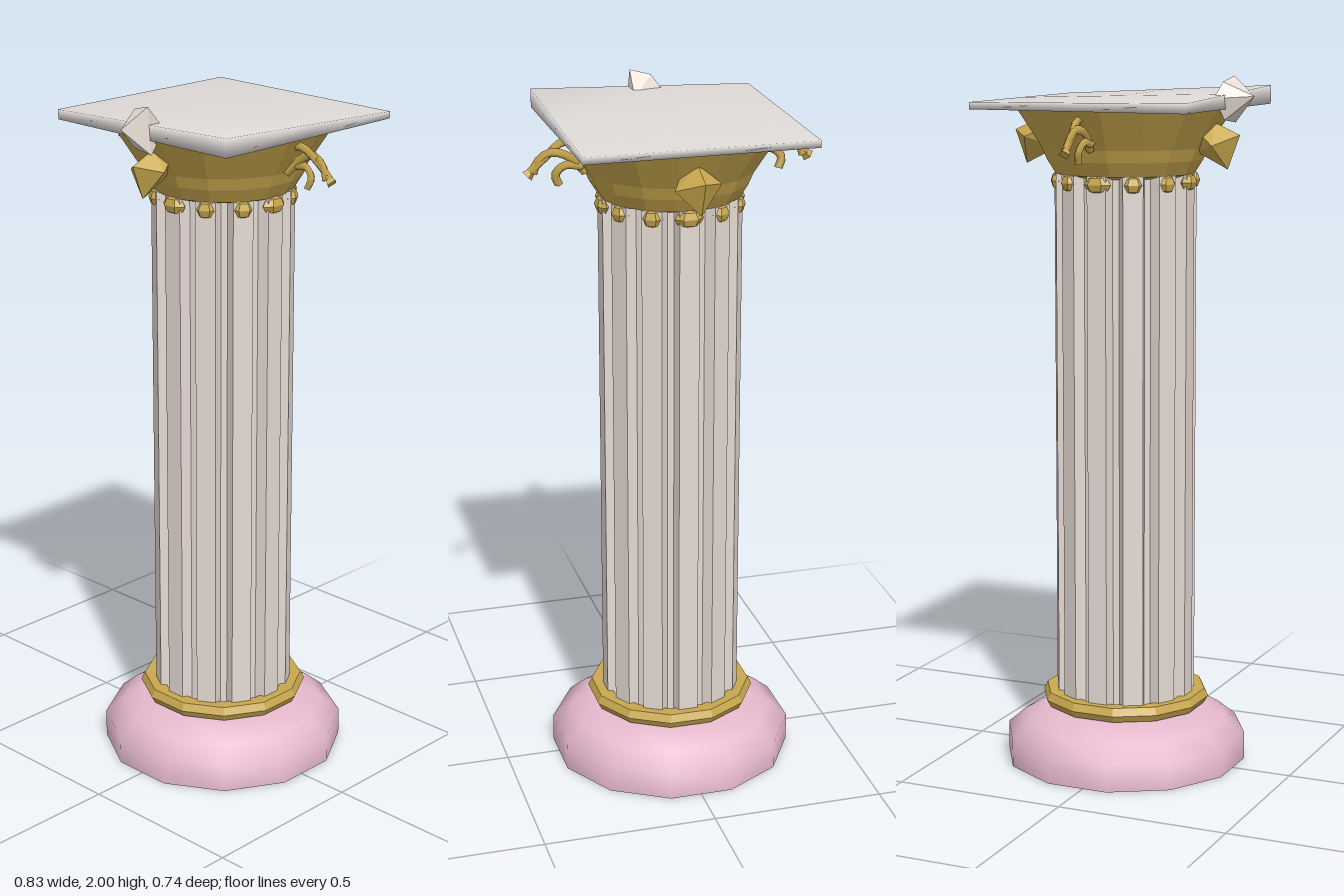
import * as THREE from 'three';
import { ConvexGeometry } from 'three/addons/geometries/ConvexGeometry.js';
import { mergeVertices } from 'three/addons/utils/BufferGeometryUtils.js';

const mat = (color, extra = {}) => new THREE.MeshStandardMaterial({ color, ...extra });
const V2 = (x, y) => new THREE.Vector2(x, y);
const V3 = (p) => new THREE.Vector3(...p);

export function createModel() {
  const model = new THREE.Group();
  const column = new THREE.Group();
  column.name = 'column';
  column.position.z = -0.018;
  model.add(column);

  const stone = mat(0xe6dad3, { flatShading: true });
  const gold = mat(0xc9a84e, { side: THREE.DoubleSide });
  const goldFlat = mat(0xc9a84e, { flatShading: true, side: THREE.DoubleSide });
  const pink = mat(0xe6b9cd);

  function add(name, geometry, material, parent = column) {
    const mesh = new THREE.Mesh(geometry, material);
    mesh.name = name;
    parent.add(mesh);
    return mesh;
  }
  function lathe(name, points, sides, material) {
    const geometry = new THREE.LatheGeometry(points.map(([r, y]) => V2(r, y)), sides);
    const mesh = add(name, geometry, material);
    mesh.rotation.y = Math.PI / sides;
    return mesh;
  }
  const hull = (points) => new ConvexGeometry(points.map(V3));

  // Chamfered foot with a flat underside
  lathe('base', [[0.354, 0], [0.354, 0.08], [0.3, 0.125], [0.23, 0.165], [0, 0.165]], 12, pink);
  const underside = add('baseUnderside', new THREE.CircleGeometry(0.354, 12), pink);
  underside.rotation.set(Math.PI / 2, 0, Math.PI / 12);

  // Gold collar around the foot of the shaft
  lathe('baseCollar', [[0.19, 0.165], [0.235, 0.168], [0.246, 0.188], [0.235, 0.21], [0.19, 0.207]], 12, goldFlat);

  // Fluted shaft
  const flutes = 12;
  const outline = [];
  for (let i = 0; i < flutes; i++) {
    for (const [offset, r] of [[-0.27, 0.202], [0.27, 0.202], [0.4, 0.172], [0.6, 0.172]]) {
      const a = ((i + offset) / flutes) * Math.PI * 2;
      outline.push(V2(Math.cos(a) * r, Math.sin(a) * r));
    }
  }
  const shaftGeometry = new THREE.ExtrudeGeometry(new THREE.Shape(outline), { depth: 1.56, bevelEnabled: false });
  shaftGeometry.rotateX(-Math.PI / 2);
  add('shaft', shaftGeometry, stone).position.y = 0.165;

  // Flaring bowl of the capital
  lathe('capitalBowl', [[0.17, 1.715], [0.2, 1.725], [0.225, 1.765], [0.24, 1.8], [0.314, 1.914], [0, 1.914]], 16, goldFlat);

  // Small leaves hanging under the bowl
  const leaves = new THREE.Group();
  leaves.name = 'neckLeaves';
  column.add(leaves);
  for (let i = 0; i < 12; i++) {
    const a = (i / 12) * Math.PI * 2;
    const big = i % 3 === 0 ? 1.2 : 0.9;
    const leaf = add('neckLeaf', new THREE.SphereGeometry(0.035, 6, 4), goldFlat, leaves);
    leaf.scale.set(big, 0.75, 0.65);
    leaf.position.set(Math.sin(a) * 0.192, 1.703, Math.cos(a) * 0.192);
    leaf.rotation.y = a;
  }

  // Front and back bosses, left and right curling leaves
  const boss = [
    [0, 1.872, 0.27], [-0.068, 1.81, 0.29], [0.062, 1.822, 0.29], [0, 1.742, 0.312],
    [0, 1.838, 0.348], [-0.03, 1.85, 0.23], [0.03, 1.85, 0.23], [0, 1.79, 0.215],
  ];
  const curls = [
    [[0.24, 1.8, 0], [0.29, 1.85, -0.01], [0.34, 1.862, -0.005], [0.375, 1.835, 0], [0.385, 1.805, 0.005]],
    [[0.24, 1.87, 0.01], [0.3, 1.885, 0.01], [0.35, 1.85, 0], [0.395, 1.81, 0]],
    [[0.25, 1.82, -0.01], [0.3, 1.825, -0.01], [0.325, 1.8, -0.005], [0.315, 1.77, 0]],
  ];
  for (const side of [0, 1]) {
    const ornaments = new THREE.Group();
    ornaments.name = side ? 'backRightOrnaments' : 'frontLeftOrnaments';
    ornaments.rotation.y = side * Math.PI;
    column.add(ornaments);
    add('boss', hull(boss), goldFlat, ornaments);
    for (const points of curls) {
      const path = new THREE.CatmullRomCurve3(points.map(V3));
      add('curlingLeaf', new THREE.TubeGeometry(path, 10, 0.012, 4), gold, ornaments);
    }
    // Pointed tip of the curl
    const tip = add('curlTip', new THREE.ConeGeometry(0.018, 0.045, 4), goldFlat, ornaments);
    tip.position.set(0.387, 1.815, 0);
    tip.rotation.z = Math.PI / 4;
  }

  // Tilted top slab, highest at its front left corner
  let slab = new THREE.BoxGeometry(0.65, 0.01, 0.645, 2, 1, 2);
  slab.deleteAttribute('normal');
  slab.deleteAttribute('uv');
  slab = mergeVertices(slab);
  const pos = slab.attributes.position;
  for (let i = 0; i < pos.count; i++) {
    const u = pos.getX(i) / 0.65 + 0.5;
    const v = pos.getZ(i) / 0.645 + 0.5;
    if (pos.getY(i) > 0) pos.setY(i, 0.015 + 0.008 * v + 0.025 * u * v);
    if (u > 0.9) pos.setX(i, pos.getX(i) - 0.006 * v);
  }
  slab.computeVertexNormals();
  add('topSlab', slab, mat(0xdedad8), model).position.set(0, 1.915, -0.022);

  // Faceted stone ornament on the front edge of the slab
  add('frontOrnament', hull([
    [0, 1.945, 0.372], [-0.062, 1.94, 0.275], [0.03, 2, 0.3], [-0.03, 1.88, 0.295],
    [0.042, 1.87, 0.3], [0.03, 1.93, 0.24], [-0.03, 1.985, 0.29],
  ]), stone, model);

  return model;
}
